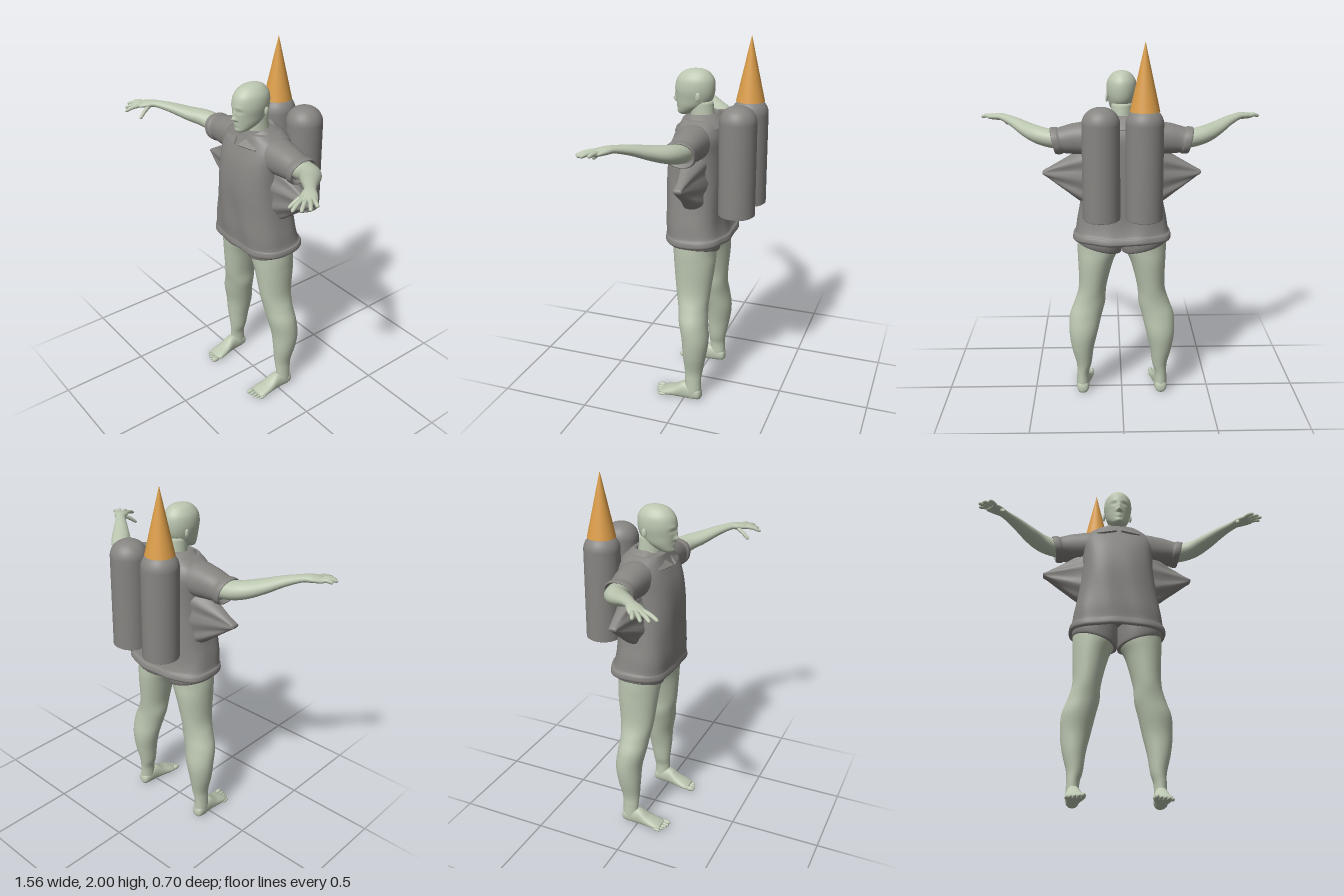
import * as THREE from 'three';

const skin = new THREE.MeshStandardMaterial({ color: 0xbcc7b1, side: THREE.DoubleSide });
skin.name = 'paleSkin';
const cloth = new THREE.MeshStandardMaterial({ color: 0x878582, side: THREE.DoubleSide });
cloth.name = 'greyCloth';
const amber = new THREE.MeshStandardMaterial({ color: 0xdb9d49, side: THREE.DoubleSide });
amber.name = 'amber';

const V = (x, y, z) => new THREE.Vector3(x, y, z);

// Catmull-Rom through rows of numbers, n steps per span
function smooth(rows, n) {
  const out = [];
  const at = (i) => rows[Math.max(0, Math.min(rows.length - 1, i))];
  for (let i = 0; i < rows.length - 1; i++) {
    for (let k = 0; k < n; k++) {
      const t = k / n;
      out.push(rows[i].map((_, c) => {
        const [a, b, d, e] = [at(i - 1)[c], at(i)[c], at(i + 1)[c], at(i + 2)[c]];
        return 0.5 * (2 * b + (d - a) * t + (2 * a - 5 * b + 4 * d - e) * t * t + (3 * b - a - 3 * d + e) * t * t * t);
      }));
    }
  }
  out.push(rows[rows.length - 1]);
  return out;
}

// Skin over elliptical rings {c, u, v}; power below 1 squares them off
function loft(rings, seg, power = 1, warp = null) {
  const pos = [], idx = [];
  const sp = (a) => Math.sign(a) * Math.abs(a) ** power;
  const add = (p) => { if (warp) warp(p); pos.push(p.x, p.y, p.z); };
  for (const { c, u, v } of rings) {
    for (let j = 0; j < seg; j++) {
      const a = (j / seg) * Math.PI * 2;
      add(c.clone().addScaledVector(u, sp(Math.cos(a))).addScaledVector(v, sp(Math.sin(a))));
    }
  }
  const last = (rings.length - 1) * seg, c0 = rings.length * seg;
  add(rings[0].c.clone());
  add(rings[rings.length - 1].c.clone());
  for (let j = 0; j < seg; j++) {
    const k = (j + 1) % seg;
    for (let i = 0; i < last; i += seg) idx.push(i + j, i + k, i + seg + j, i + k, i + seg + k, i + seg + j);
    idx.push(c0, k, j, c0 + 1, last + j, last + k);
  }
  const g = new THREE.BufferGeometry();
  g.setAttribute('position', new THREE.Float32BufferAttribute(pos, 3));
  g.setIndex(idx);
  g.computeVertexNormals();
  return g;
}

// Upright form, rows [y, centre x, centre z, half width, half depth]
const tower = (rows, n, seg, power, warp) => loft(smooth(rows, n).map(([y, x, z, rx, rz]) =>
  ({ c: V(x, y, z), u: V(rx, 0, 0), v: V(0, 0, -rz) })), seg, power, warp);
// Sideways form, rows [x, centre y, centre z, half height, half depth]
const sideways = (rows, n, seg, power, warp) => loft(smooth(rows, n).map(([x, y, z, ry, rz]) =>
  ({ c: V(x, y, z), u: V(0, ry, 0), v: V(0, 0, rz) })), seg, power, warp);
// Forward form, rows [z, centre x, centre y, half width, half height]
const forward = (rows, n, seg, power, warp) => loft(smooth(rows, n).map(([z, x, y, rx, ry]) =>
  ({ c: V(x, y, z), u: V(rx, 0, 0), v: V(0, ry, 0) })), seg, power, warp);
// Limb along points [x, y, z, side radius, vertical radius]
function limb(points, n, seg) {
  const rows = smooth(points, n);
  const centre = rows.map((r) => V(r[0], r[1], r[2]));
  return loft(rows.map((r, i) => {
    const t = centre[Math.min(i + 1, rows.length - 1)].clone().sub(centre[Math.max(i - 1, 0)]).normalize();
    const u = V(0, 1, 0).cross(t).normalize();
    return { c: centre[i], u: u.clone().multiplyScalar(r[3]), v: t.clone().cross(u).multiplyScalar(r[4]) };
  }), seg);
}

function mirrored(geo) {
  const g = geo.index ? geo.clone() : geo.clone().setIndex([...Array(geo.attributes.position.count).keys()]);
  g.scale(-1, 1, 1);
  const a = g.index.array;
  for (let i = 0; i < a.length; i += 3) [a[i + 1], a[i + 2]] = [a[i + 2], a[i + 1]];
  return g;
}

export function createModel() {
  const model = new THREE.Group();
  model.name = 'jetpackFigure';
  const add = (name, geo, mat) => {
    const m = new THREE.Mesh(geo, mat);
    m.name = name;
    model.add(m);
  };
  const pair = (name, geo, mat) => {
    add('left' + name, geo, mat);
    add('right' + name, mirrored(geo), mat);
  };
  const ball = (x, y, z, rx, ry, rz) => new THREE.SphereGeometry(1, 16, 12).scale(rx, ry, rz).translate(x, y, z);

  // Head, with the face pushed out of the front by soft bumps [x, y, width, height, depth]
  const bumps = [
    [0, 1.67, 0.011, 0.011, 0.02], [0, 1.693, 0.009, 0.02, 0.009], [0.012, 1.666, 0.007, 0.007, 0.005],
    [0.03, 1.712, 0.015, 0.009, -0.007], [0.03, 1.712, 0.008, 0.005, 0.003], [0.028, 1.733, 0.02, 0.008, 0.003],
    [0, 1.643, 0.018, 0.005, 0.005], [0, 1.632, 0.016, 0.005, 0.005], [0, 1.606, 0.02, 0.012, 0.004],
  ];
  add('head', tower([
    [1.592, 0, 0.075, 0.016, 0.02], [1.605, 0, 0.064, 0.037, 0.043], [1.64, 0, 0.033, 0.06, 0.078],
    [1.68, 0, 0.018, 0.071, 0.099], [1.73, 0, 0.014, 0.08, 0.107], [1.78, 0, 0.011, 0.075, 0.1],
    [1.815, 0, 0.008, 0.053, 0.072], [1.83, 0, 0.005, 0.029, 0.04], [1.835, 0, 0.005, 0.003, 0.004],
  ], 8, 64, 1, (p) => {
    if (p.z < 0.04) return;
    const x = Math.abs(p.x), y = p.y;
    for (const [bx, by, w, h, d] of bumps) p.z += d * Math.exp(-(((x - bx) / w) ** 2) - ((y - by) / h) ** 2);
  }), skin);
  pair('Ear', ball(0.078, 1.7, 0.008, 0.008, 0.024, 0.014).rotateX(-0.02), skin);
  add('neck', tower([[1.48, 0, -0.03, 0.08, 0.075], [1.56, 0, -0.03, 0.06, 0.066], [1.67, 0, -0.02, 0.055, 0.062]], 5, 32), skin);

  // Legs and feet
  pair('Leg', tower([
    [0.95, 0.125, -0.03, 0.118, 0.12], [0.88, 0.128, -0.03, 0.117, 0.118], [0.8, 0.145, -0.033, 0.097, 0.113],
    [0.65, 0.163, -0.032, 0.077, 0.096], [0.56, 0.179, -0.037, 0.086, 0.083], [0.48, 0.203, -0.045, 0.09, 0.08],
    [0.38, 0.217, -0.06, 0.08, 0.075], [0.28, 0.222, -0.057, 0.062, 0.066], [0.18, 0.217, -0.051, 0.043, 0.052],
    [0.12, 0.224, -0.049, 0.034, 0.046], [0.05, 0.225, -0.05, 0.035, 0.045], [0.01, 0.225, -0.05, 0.03, 0.04],
  ], 5, 32), skin);
  const floor = (p) => { p.y = Math.max(0, p.y); };
  pair('Foot', forward([
    [-0.1, 0.225, 0.03, 0.008, 0.012], [-0.082, 0.225, 0.036, 0.033, 0.036], [0, 0.222, 0.044, 0.036, 0.052],
    [0.06, 0.218, 0.028, 0.045, 0.032], [0.115, 0.214, 0.017, 0.05, 0.02], [0.142, 0.213, 0.014, 0.042, 0.01],
  ], 5, 28, 0.9, floor), skin);
  for (let i = 0; i < 5; i++) {
    const r = i === 0 ? 0.014 : 0.011 - i * 0.0007;
    pair('Toe' + (i + 1), ball(0.178 + i * 0.0205, r, 0.155 - i * i * 0.0018, r * 0.9, r, 0.027), skin);
  }

  // Arms and hands
  pair('Arm', limb([
    [0.25, 1.48, -0.035, 0.06, 0.055], [0.36, 1.482, -0.03, 0.058, 0.05], [0.44, 1.497, -0.004, 0.056, 0.046],
    [0.51, 1.518, 0.056, 0.05, 0.037], [0.58, 1.545, 0.12, 0.037, 0.027], [0.645, 1.562, 0.178, 0.028, 0.019],
    [0.675, 1.562, 0.208, 0.037, 0.019], [0.705, 1.557, 0.24, 0.042, 0.016], [0.722, 1.554, 0.257, 0.034, 0.011],
  ], 5, 28), skin);
  const fingers = { // base and tip of each
    Thumb: [0.66, 1.553, 0.22, 0.638, 1.503, 0.298], IndexFinger: [0.69, 1.556, 0.265, 0.715, 1.535, 0.345],
    MiddleFinger: [0.704, 1.557, 0.254, 0.751, 1.541, 0.322], RingFinger: [0.718, 1.557, 0.241, 0.778, 1.549, 0.291],
    LittleFinger: [0.724, 1.557, 0.226, 0.778, 1.553, 0.25],
  };
  for (const [name, [x, y, z, tx, ty, tz]] of Object.entries(fingers)) {
    const at = (t, r, lift) => [x + (tx - x) * t, y + (ty - y) * t + lift, z + (tz - z) * t, r, r];
    pair(name, limb([at(-0.2, 0.012, 0), at(0.45, 0.0108, 0.006), at(0.9, 0.0085, 0.001), at(1, 0.002, 0)], 4, 12), skin);
  }

  // Briefs under the shirt, one slanted cuff per leg meeting at the crotch
  pair('BriefsCuff', tower([
    [0.888, 0.124, -0.03, 0.112, 0.115], [0.89, 0.124, -0.031, 0.122, 0.126], [0.92, 0.124, -0.033, 0.126, 0.134],
    [0.98, 0.12, -0.033, 0.125, 0.138],
  ], 4, 36, 0.95, (p) => { if (p.y < 0.96) p.y += (p.x - 0.124) * 0.27; }), cloth);

  // Loose shirt with a rolled hem and soft folds
  add('shirt', tower([
    [0.97, 0, -0.03, 0.235, 0.145], [0.934, 0, -0.032, 0.252, 0.16], [0.943, 0, -0.033, 0.266, 0.174],
    [0.968, 0, -0.031, 0.264, 0.17], [0.982, 0, -0.026, 0.253, 0.163], [1.05, 0, -0.016, 0.242, 0.157],
    [1.15, 0, -0.013, 0.223, 0.155], [1.3, 0, -0.012, 0.203, 0.156], [1.42, 0, -0.02, 0.2, 0.149],
    [1.5, 0, -0.032, 0.205, 0.134], [1.555, 0, -0.035, 0.18, 0.112], [1.59, 0, -0.028, 0.125, 0.092],
  ], 5, 72, 0.72, (p) => {
    const low = THREE.MathUtils.clamp((1.45 - p.y) / 0.4, 0, 1);
    p.z += 0.003 * low * Math.sin(p.x * 38 + p.y * 9);
    if (p.y < 1.1) p.y += 0.004 * Math.sin(p.x * 17 + p.z * 12);
  }), cloth);

  // Pulled-out fabric points below the sleeves: flat, straight-edged and pleated toward the tip
  pair('ShirtFlare', sideways([
    [0.15, 1.277, -0.035, 0.17, 0.085], [0.225, 1.283, -0.036, 0.139, 0.065], [0.295, 1.29, -0.037, 0.092, 0.046],
    [0.365, 1.297, -0.038, 0.046, 0.032], [0.422, 1.302, -0.039, 0.009, 0.022],
  ], 5, 48, 0.75, (p) => {
    p.z += 0.007 * Math.sin((p.y - 1.3) / (0.47 - p.x) * 16) * THREE.MathUtils.clamp((0.43 - p.x) * 6, 0, 1);
  }), cloth);

  // Short sleeves with thick slanted cuffs
  pair('Sleeve', sideways([
    [0.13, 1.485, -0.032, 0.09, 0.1], [0.2, 1.485, -0.032, 0.088, 0.09], [0.29, 1.476, -0.03, 0.073, 0.078],
    [0.323, 1.473, -0.03, 0.067, 0.077], [0.333, 1.472, -0.03, 0.071, 0.082], [0.36, 1.471, -0.03, 0.07, 0.082],
    [0.364, 1.471, -0.03, 0.062, 0.074], [0.34, 1.473, -0.03, 0.05, 0.06],
  ], 4, 36, 0.9, (p) => { if (p.x > 0.24) p.x += (p.y - 1.472) * 0.22; }), cloth);

  // Folded collar, lower at the front, with two pointed lapels
  add('collar', tower([
    [1.545, 0, -0.04, 0.155, 0.12], [1.55, 0, -0.04, 0.165, 0.128], [1.575, 0, -0.036, 0.142, 0.112],
    [1.608, 0, -0.022, 0.098, 0.09], [1.611, 0, -0.018, 0.088, 0.082], [1.597, 0, -0.015, 0.078, 0.074], [1.56, 0, -0.02, 0.07, 0.068],
  ], 4, 48, 0.85, (p) => { p.y -= 0.5 * Math.max(0, p.z); }), cloth);
  const lapel = new THREE.Shape([[0.006, -0.03], [0.07, 0.05], [0.14, 0.03], [0.118, -0.035]]
    .map(([x, y]) => new THREE.Vector2(x, y)));
  pair('Lapel', new THREE.ExtrudeGeometry(lapel, { depth: 0.01, bevelEnabled: false })
    .rotateX(-0.8).rotateY(0.3).translate(0, 1.545, 0.088), cloth);

  // Twin back tanks: flat underneath, domed on top
  const profile = [new THREE.Vector2(0, 1.1), new THREE.Vector2(0.09, 1.1), new THREE.Vector2(0.097, 1.105)];
  for (let i = 0; i < 12; i++) {
    const a = (i / 12) * Math.PI / 2;
    profile.push(new THREE.Vector2(0.097 * Math.cos(a) ** 0.9, 1.595 + 0.087 * Math.sin(a)));
  }
  profile.push(new THREE.Vector2(0, 1.682));
  pair('Tank', new THREE.LatheGeometry(profile, 40).translate(0.11, 0, -0.253), cloth);

  // Nose cone on the right tank only
  add('noseCone', new THREE.ConeGeometry(0.076, 0.34, 32).translate(-0.11, 1.83, -0.253), amber);

  return model;
}
